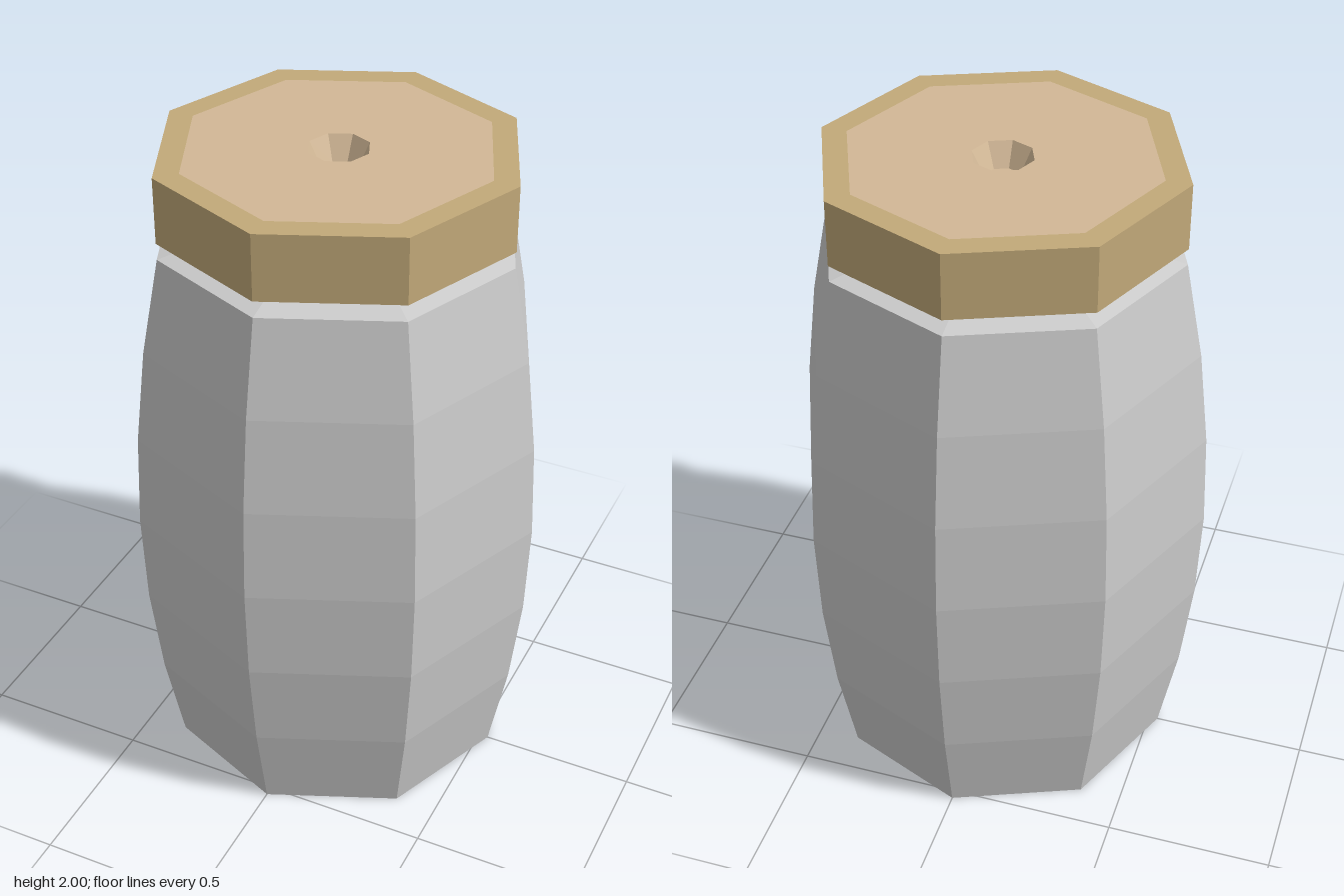
import * as THREE from 'three';

const SIDES = 8;

// Eight-sided turned part from a profile of [radius, height], listed bottom to top
function turned(name, profile, color) {
  const points = profile.map(([r, y]) => new THREE.Vector2(r, y));
  const mesh = new THREE.Mesh(
    new THREE.LatheGeometry(points, SIDES),
    new THREE.MeshStandardMaterial({ color, flatShading: true })
  );
  mesh.name = name;
  return mesh;
}

export function createModel() {
  const group = new THREE.Group();
  group.name = 'shakerJar';

  // Bulging body, with a recessed base and a sloped shoulder up to the neck
  const sideWall = [];
  const bands = 6;
  for (let i = 0; i <= bands; i++) {
    const t = i / bands;
    sideWall.push([0.53 + 0.1 * (1 - (2 * t - 1) ** 2), 1.75 * t]);
  }
  group.add(turned('body', [
    [0, 0.05], [0.45, 0.05], [0.45, 0],
    ...sideWall,
    [0.42, 1.775], [0.37, 1.8]
  ], 0xcccccc));

  // Lid: underside, outer wall and top rim
  group.add(turned('lid', [
    [0, 1.8], [0.53, 1.8], [0.53, 2], [0.455, 2]
  ], 0xc2a979));

  // Inset top panel with a tapered pouring hole
  group.add(turned('lidPanel', [
    [0.455, 2], [0.09, 2], [0.055, 1.93], [0, 1.93]
  ], 0xd2b896));

  return group;
}
